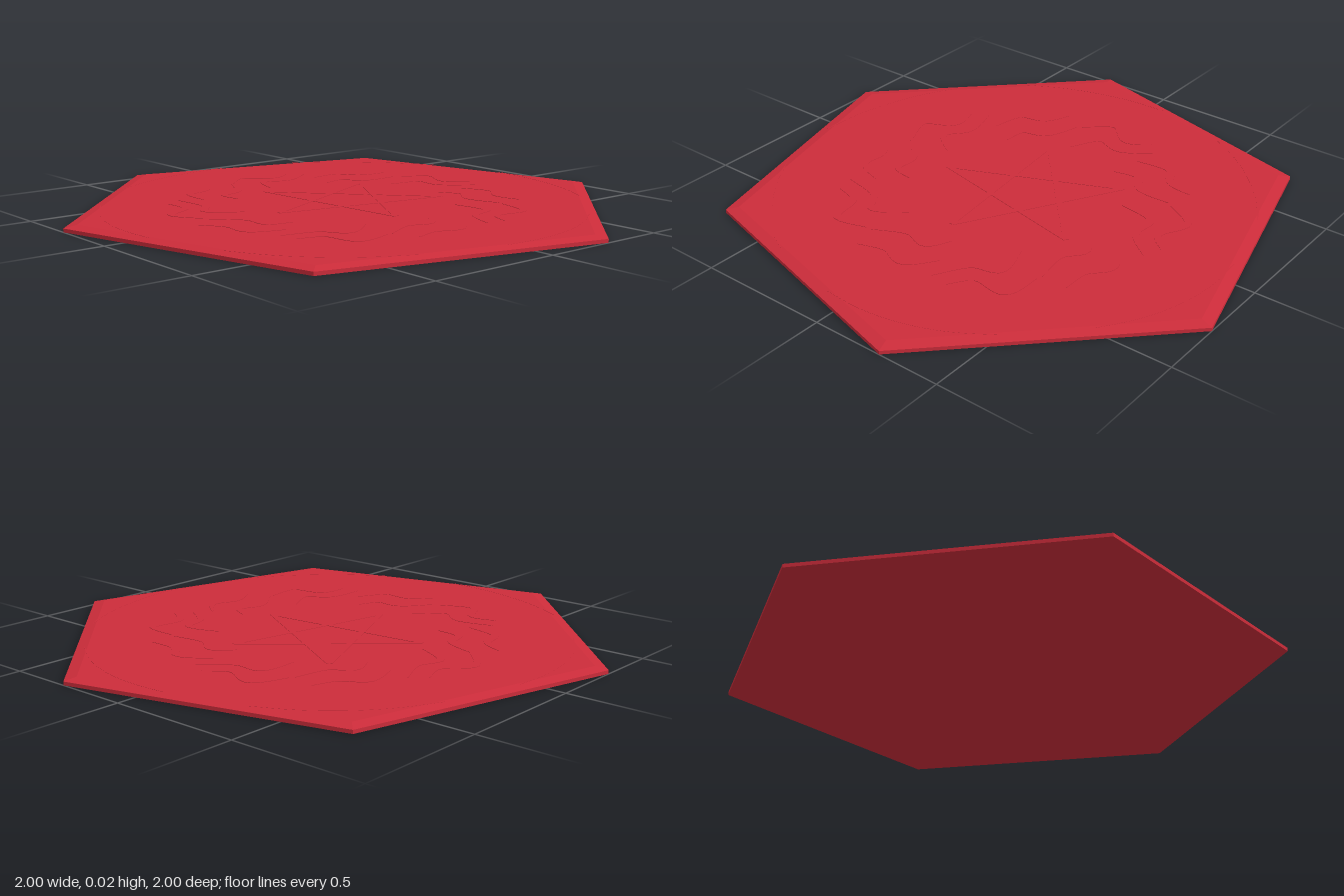
import * as THREE from 'three';

const RIM_Y = 0.0215;    // upper face of the tile
const FLOOR_Y = 0.0185;  // sunken round field
const CORNER = 1.035;    // hexagon radius
const INSET = 0.988;     // hexagon radius inside the bevel
const rad = THREE.MathUtils.degToRad;

export function createModel() {
  const group = new THREE.Group();
  const material = new THREE.MeshStandardMaterial({ color: 0xcc2c3a, flatShading: true });

  const add = (name, geometry, y = 0) => {
    const mesh = new THREE.Mesh(geometry, material);
    mesh.name = name;
    mesh.position.y = y;
    group.add(mesh);
    return mesh;
  };

  // Point on the ground plane at an angle from +x towards +z; shapes use y = -z
  const polar = (r, deg, cx = 0, cz = 0) =>
    new THREE.Vector2(cx + r * Math.cos(rad(deg)), -(cz + r * Math.sin(rad(deg))));

  const slab = (shape, depth) =>
    new THREE.ExtrudeGeometry(shape, { depth, bevelEnabled: false }).rotateX(-Math.PI / 2);

  // Ribbon along a smooth path, narrowing towards both ends
  const ribbon = (points, width, steps = 16, taper = true) => {
    const curve = new THREE.SplineCurve(points);
    const left = [], right = [];
    for (let i = 0; i <= steps; i++) {
      const t = i / steps;
      const p = curve.getPoint(t), d = curve.getTangent(t);
      const w = width / 2 * (taper ? Math.max(0.08, Math.sin(Math.PI * t)) : 1);
      left.push(new THREE.Vector2(p.x - d.y * w, p.y + d.x * w));
      right.unshift(new THREE.Vector2(p.x + d.y * w, p.y - d.x * w));
    }
    return new THREE.Shape([...left, ...right]);
  };

  // Hexagonal base with a bevelled upper edge
  const profile = [[0, 0], [CORNER, 0], [CORNER, 0.013], [INSET, RIM_Y]]
    .map(([x, y]) => new THREE.Vector2(x, y));
  add('tileBody', new THREE.LatheGeometry(profile, 6, rad(15)));

  // Upper face with an uneven round opening
  const hexagon = [], opening = [];
  for (let i = 0; i < 6; i++) hexagon.push(polar(INSET, 15 + 60 * i));
  for (let i = 0; i < 120; i++) {
    const a = i * 3, t = rad(a);
    opening.push(polar(0.785 + 0.007 * Math.sin(9 * t) + 0.005 * Math.sin(23 * t + 1), a));
  }
  const rim = new THREE.Shape(hexagon);
  rim.holes.push(new THREE.Path(opening));
  add('upperRim', slab(rim, RIM_Y - FLOOR_Y), FLOOR_Y);

  // Sunken field
  add('sunkenField', new THREE.CircleGeometry(0.82, 64).rotateX(-Math.PI / 2), FLOOR_Y);

  // Five-pointed star of straight bands
  const star = new THREE.Group();
  star.name = 'star';
  group.add(star);
  for (let i = 0; i < 5; i++) {
    const ends = [polar(0.35, 30 + 72 * i, 0.04, -0.03), polar(0.35, 174 + 72 * i, 0.04, -0.03)];
    star.add(add('starBand', slab(ribbon(ends, 0.02, 1, false), 0.0015), FLOOR_Y));
  }

  // Flame-like strokes around the star
  const flames = new THREE.Group();
  flames.name = 'flames';
  group.add(flames);
  for (let i = 0; i < 10; i++) {
    const a = 12 + 36 * i, s = i % 2 ? 0.05 : 0;
    const strokes = [
      [[0.40, a], [0.47 + s, a + 8], [0.46 + s, a + 20], [0.56 + s, a + 30]],
      [[0.52 + s, a - 4], [0.60 + s, a + 6], [0.58, a + 16], [0.64, a + 24]],
    ];
    for (const stroke of strokes) {
      const path = stroke.map(([r, deg]) => polar(r, deg));
      flames.add(add('flameStroke', slab(ribbon(path, 0.03), 0.0015), FLOOR_Y));
    }
  }

  // Slim arcs across the six corners
  const arcs = new THREE.Group();
  arcs.name = 'cornerArcs';
  group.add(arcs);
  for (let i = 0; i < 6; i++) {
    const path = [-20, -10, 0, 10, 20].map((d) => polar(0.88, 15 + 60 * i + d));
    arcs.add(add('cornerArc', slab(ribbon(path, 0.02), 0.0006), RIM_Y));
  }
  return group;
}
